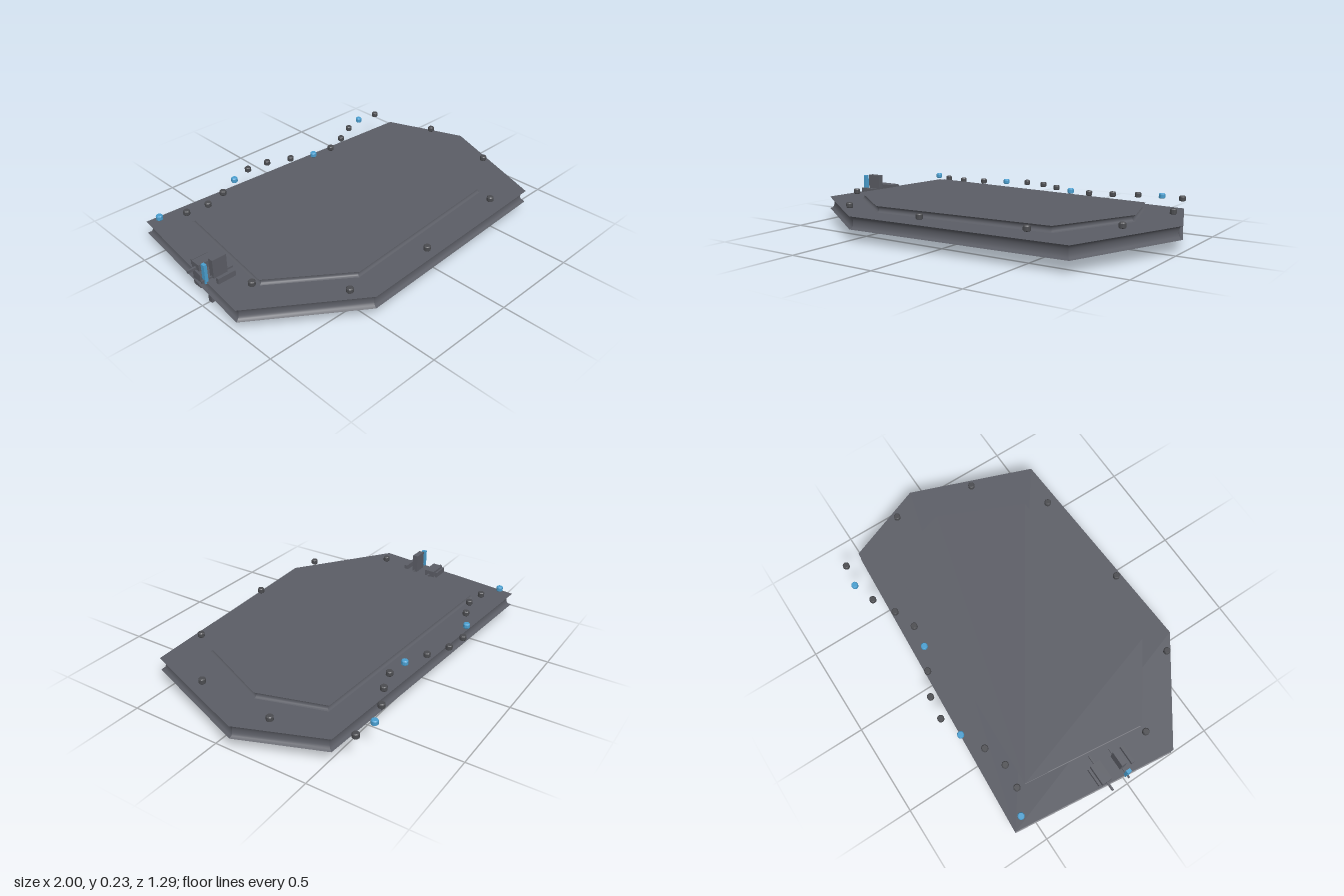
import * as THREE from 'three';

const mat = (name, color) => {
  const m = new THREE.MeshStandardMaterial({ color });
  m.name = name;
  return m;
};

// Moves every edge of a convex outline inward by d, keeping the corners sharp
function inset(points, d) {
  const n = points.length;
  const normal = (i) => {
    const [ax, az] = points[i % n], [bx, bz] = points[(i + 1) % n];
    const l = Math.hypot(bx - ax, bz - az);
    return [-(bz - az) / l, (bx - ax) / l];
  };
  return points.map(([x, z], i) => {
    const p = normal(i + n - 1), q = normal(i);
    const k = d / (1 + p[0] * q[0] + p[1] * q[1]);
    return [x + (p[0] + q[0]) * k, z + (p[1] + q[1]) * k];
  });
}

// Flat slab whose side walls are hollowed into a smooth groove
function groovedSlab(outline, y0, y1, depth, steps = 10) {
  const pos = [], idx = [], n = outline.length;
  const rings = [];
  for (let s = 0; s <= steps; s++) {
    const t = s / steps;
    const y = y0 + (y1 - y0) * t;
    const d = depth * Math.sqrt(Math.max(0, 1 - (2 * t - 1) ** 2));
    rings.push(inset(outline, d).map(([x, z]) => [x, y, z]));
  }
  // Each wall has its own vertices so that the corners stay crisp
  for (let i = 0; i < n; i++) {
    const base = pos.length / 3;
    rings.forEach((r) => pos.push(...r[i], ...r[(i + 1) % n]));
    for (let s = 0; s < steps; s++) {
      const a = base + s * 2;
      idx.push(a, a + 2, a + 1, a + 1, a + 2, a + 3);
    }
  }
  // Bottom and top caps
  [rings[0], rings[steps]].forEach((r, top) => {
    const base = pos.length / 3;
    r.forEach((p) => pos.push(...p));
    for (let i = 1; i < n - 1; i++) {
      if (top) idx.push(base, base + i + 1, base + i);
      else idx.push(base, base + i, base + i + 1);
    }
  });
  const g = new THREE.BufferGeometry();
  g.setAttribute('position', new THREE.Float32BufferAttribute(pos, 3));
  g.setIndex(idx);
  g.computeVertexNormals();
  return g;
}

export function createModel() {
  const model = new THREE.Group();
  const slate = mat('slate', 0x5b5d65);
  const darkMetal = mat('dark metal', 0x4b4c50);
  const blue = mat('blue light', 0x4a9fd0);

  const add = (name, geometry, material, parent = model) => {
    const m = new THREE.Mesh(geometry, material);
    m.name = name;
    parent.add(m);
    return m;
  };

  // Base slab and raised panel
  const outer = [[-0.895, -0.618], [0.83, -0.518], [1, -0.085], [0.75, 0.575], [-0.485, 0.637], [-1, 0.268]];
  const inner = [[-0.73, -0.453], [0.666, -0.395], [0.77, -0.045], [0.565, 0.408], [-0.44, 0.484], [-0.812, 0.205]];
  add('baseSlab', groovedSlab(outer, 0.062, 0.13, 0.022), slate);
  add('raisedPanel', groovedSlab(inner, 0.129, 0.164, 0.016), slate);

  // Studs: a wavy row along the back and a sparse row round the other sides
  const studProfile = [[0, 0.152], [0.014, 0.152], [0.018, 0.156], [0.018, 0.175], [0.014, 0.18], [0, 0.18]]
    .map(([x, y]) => new THREE.Vector2(x, y));
  const studGeometry = new THREE.LatheGeometry(studProfile, 12).toNonIndexed();
  studGeometry.computeVertexNormals();
  const studs = new THREE.Group();
  studs.name = 'studs';
  model.add(studs);
  const addStud = (name, x, z, material) => add(name, studGeometry, material, studs).position.set(x, 0, z);

  const rowZ = [-0.556, -0.497, -0.484, -0.524, -0.588, -0.628, -0.612, -0.553,
    -0.497, -0.484, -0.527, -0.59, -0.63, -0.612];
  rowZ.forEach((z, i) => {
    const lit = i % 4 === 0;
    addStud(lit ? 'lightStud' : 'backStud', -0.85 + i * 0.1257, z, lit ? blue : darkMetal);
  });
  [[0.888, -0.23], [0.826, 0.22], [0.5, 0.519], [-0.074, 0.578], [-0.566, 0.548], [-0.85, 0.2]]
    .forEach(([x, z]) => addStud('edgeStud', x, z, darkMetal));

  // Latch through the right-hand edge; boxes given by their min and max corners
  const latch = new THREE.Group();
  latch.name = 'latch';
  model.add(latch);
  const block = (name, [x0, x1], [y0, y1], [z0, z1], material = slate) =>
    add(name, new THREE.BoxGeometry(x1 - x0, y1 - y0, z1 - z0), material, latch)
      .position.set((x0 + x1) / 2, (y0 + y1) / 2, (z0 + z1) / 2);

  block('latchUpright', [-0.93, -0.85], [0.12, 0.232], [-0.015, 0.015]);
  block('latchFoot', [-0.955, -0.828], [0, 0.07], [-0.01, 0.015]);
  block('latchBlock', [-0.947, -0.838], [0.03, 0.165], [-0.135, -0.078]);
  block('latchBackRib', [-0.94, -0.845], [0.12, 0.16], [-0.153, -0.143]);
  block('latchFrontRib', [-0.94, -0.84], [0.05, 0.16], [0.048, 0.066]);
  block('latchBar', [-0.995, -0.79], [0.13, 0.145], [-0.11, -0.1]);
  block('latchCrossBar', [-0.99, -0.81], [0.125, 0.14], [-0.004, 0.004]);
  block('latchLight', [-0.975, -0.958], [0.12, 0.225], [-0.012, 0.012], blue);
  // Slim pins below the slab
  block('lowerPin', [-0.83, -0.757], [0.045, 0.064], [0.058, 0.068]);
  block('lowerPin', [-0.86, -0.8], [0.04, 0.064], [0.04, 0.048]);

  return model;
}
